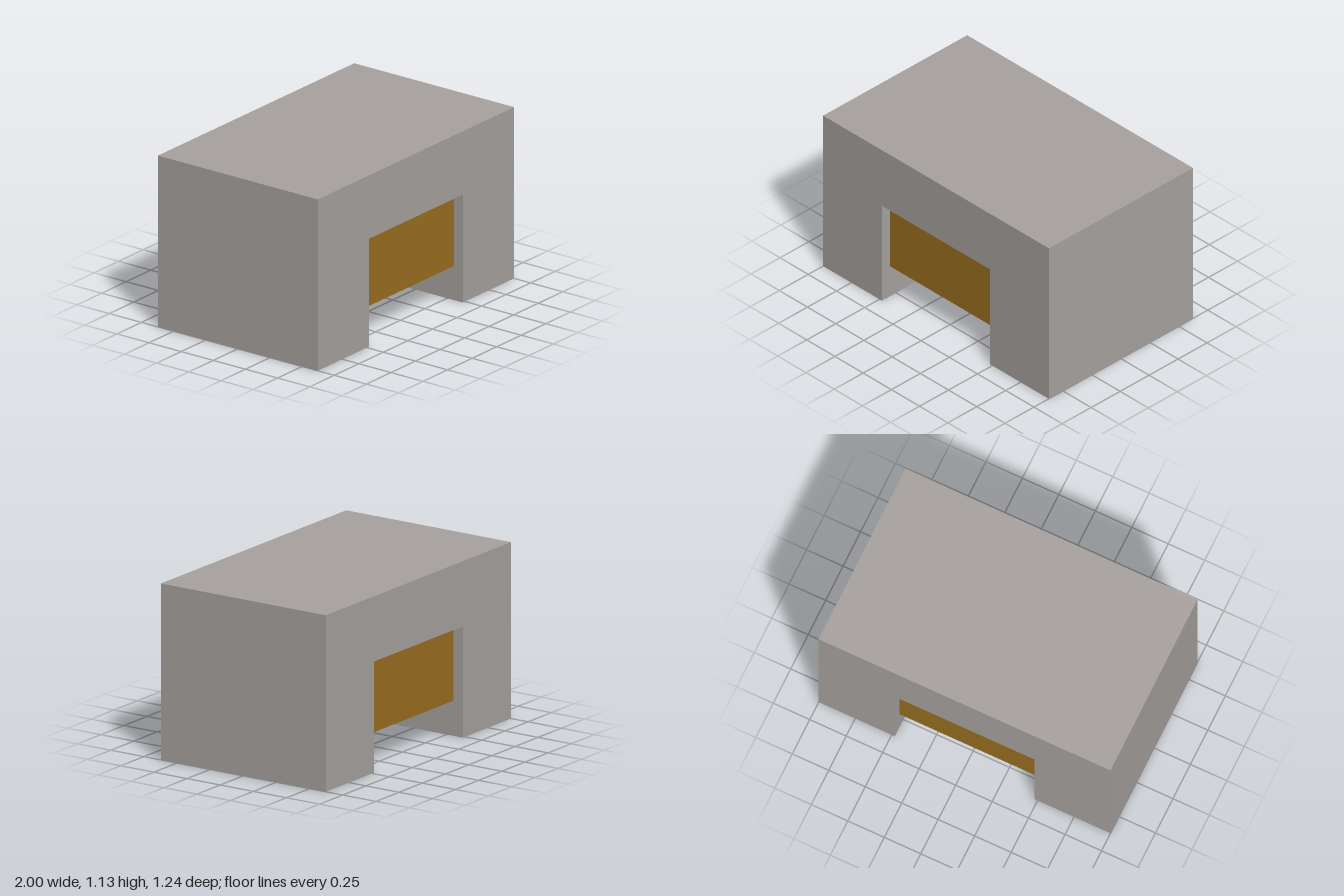
import * as THREE from 'three';

const HEIGHT = 1.135, DEPTH = 1.244;
const OPENING = { halfWidth: 0.478, top: 0.715 };
const INSERT = { bottom: 0.226, depth: 1.105 };

export function createModel() {
  const stone = new THREE.MeshStandardMaterial({ color: 0xa8a39f });
  stone.name = 'warm grey stone';
  const ochre = new THREE.MeshStandardMaterial({ color: 0x9a6f20 });
  ochre.name = 'ochre';

  const model = new THREE.Group();
  model.name = 'archBlock';

  // Arch body: an upside-down U extruded from front to back
  const { halfWidth: w, top } = OPENING;
  const outline = new THREE.Shape([
    [-1, 0], [-w, 0], [-w, top], [w, top], [w, 0], [1, 0], [1, HEIGHT], [-1, HEIGHT],
  ].map(([x, y]) => new THREE.Vector2(x, y)));
  const bodyGeometry = new THREE.ExtrudeGeometry(outline, { depth: DEPTH, bevelEnabled: false });
  bodyGeometry.translate(0, 0, -DEPTH / 2);
  const body = new THREE.Mesh(bodyGeometry, stone);
  body.name = 'archBody';
  model.add(body);

  // Block hung in the upper part of the opening, set back at both ends
  const insertHeight = top - INSERT.bottom;
  const insert = new THREE.Mesh(new THREE.BoxGeometry(w * 2, insertHeight, INSERT.depth), ochre);
  insert.position.y = INSERT.bottom + insertHeight / 2;
  insert.name = 'openingInsert';
  model.add(insert);

  return model;
}
